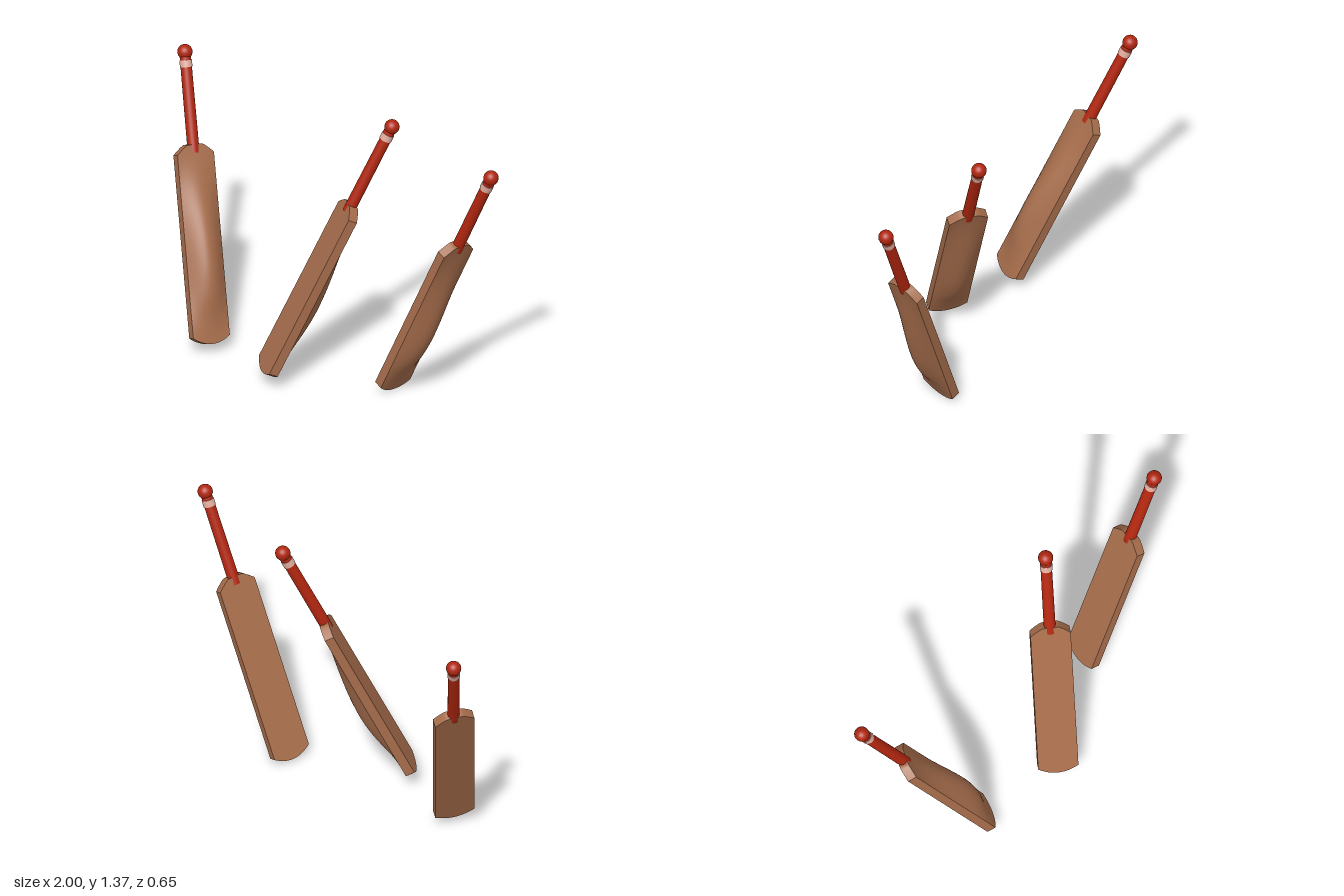
import * as THREE from 'three';
import { mergeGeometries } from 'three/addons/utils/BufferGeometryUtils.js';

const HALF_WIDTH = 0.098;
const FACE = 0.024; // flat striking face
const EDGE = 0.046; // thickness of the blade at its sides
const V = (x, y, z) => new THREE.Vector3(x, y, z);

// Thickness along the middle of the blade, foot to shoulder, evenly spaced
const spine = new THREE.SplineCurve(
  [0.048, 0.066, 0.097, 0.112, 0.11, 0.098, 0.08, 0.06, 0.047]
    .map((t, i) => new THREE.Vector2(i * 0.12, t)));

const footY = (u) => 0.035 * u * u;
const shoulderY = (u) => 0.97 - 0.045 * Math.pow(Math.max(0, (Math.abs(u) - 0.4) / 0.6), 1.2);
const bladeY = (u, v) => THREE.MathUtils.lerp(footY(u), shoulderY(u), v);

function backZ(u, y) {
  const mid = spine.getPoint(THREE.MathUtils.clamp(y / 0.96, 0, 1)).y;
  return FACE - EDGE - (mid - EDGE) * Math.cos(u * Math.PI / 2);
}

// Point of the blade: u across (-1..1), v along (0..1), d from face to back (0..1)
function bladePoint(u, v, d) {
  const y = bladeY(u, v);
  return [u * HALF_WIDTH, y, THREE.MathUtils.lerp(FACE, backZ(u, y), d)];
}

// Smooth grid surface from a point function of a and b
function grid(point, na, nb) {
  const pos = [], index = [];
  for (let j = 0; j <= nb; j++) {
    for (let i = 0; i <= na; i++) pos.push(...point(i / na, j / nb));
  }
  for (let j = 0; j < nb; j++) {
    for (let i = 0; i < na; i++) {
      const p = j * (na + 1) + i, q = p + na + 1;
      index.push(p, p + 1, q + 1, p, q + 1, q);
    }
  }
  const g = new THREE.BufferGeometry();
  g.setAttribute('position', new THREE.Float32BufferAttribute(pos, 3));
  g.setIndex(index);
  g.computeVertexNormals();
  return g;
}

function bladeGeometry() {
  return mergeGeometries([
    grid((a, b) => bladePoint(2 * a - 1, b, 0), 20, 1), // flat face
    grid((a, b) => bladePoint(1 - 2 * a, b, 1), 20, 32), // swelled back
    grid((a, b) => bladePoint(1, b, a), 1, 1), // sides
    grid((a, b) => bladePoint(-1, b, 1 - a), 1, 1),
    grid((a, b) => bladePoint(2 * a - 1, 1, b), 20, 1), // shoulder
    grid((a, b) => bladePoint(2 * a - 1, 0, 1 - b), 20, 1), // foot
  ]);
}

export function createModel() {
  const wood = new THREE.MeshStandardMaterial({ name: 'wood', color: 0xa56c4b });
  const red = new THREE.MeshStandardMaterial({ name: 'red grip', color: 0xb0260f });
  const pale = new THREE.MeshStandardMaterial({ name: 'pale band', color: 0xe0aa9c });

  const parts = [
    ['blade', bladeGeometry(), wood, 0],
    ['handle', new THREE.CylinderGeometry(0.0275, 0.029, 0.47, 24), red, 1.165],
    ['band', new THREE.CylinderGeometry(0.0305, 0.0305, 0.034, 24), pale, 1.362],
    ['knob', new THREE.SphereGeometry(0.037, 24, 16), red, 1.42],
  ];

  // Foot of each bat, its knob, and the direction across its blade
  const poses = [
    ['leftmostBat', V(-0.53, 0.055, 0.14), V(-0.964, 1.336, -0.295), V(-0.5, 0.13, 0.8)],
    ['middleBat', V(-0.138, 0.067, 0.25), V(0.302, 1.348, -0.198), V(0.14, -0.01, 0.13)],
    ['rightmostBat', V(0.39, 0.015, -0.045), V(0.961, 1.318, -0.065), V(-0.045, 0.023, 0.19)],
  ];

  const model = new THREE.Group();
  model.name = 'threeBats';
  for (const [name, foot, knob, across] of poses) {
    const bat = new THREE.Group();
    bat.name = name;
    for (const [part, geometry, material, y] of parts) {
      const mesh = new THREE.Mesh(geometry, material);
      mesh.name = part;
      mesh.position.y = y;
      bat.add(mesh);
    }
    const up = knob.clone().sub(foot).normalize();
    const face = across.clone().cross(up).normalize();
    const side = up.clone().cross(face);
    bat.quaternion.setFromRotationMatrix(new THREE.Matrix4().makeBasis(side, up, face));
    bat.position.copy(foot);
    model.add(bat);
  }
  return model;
}
